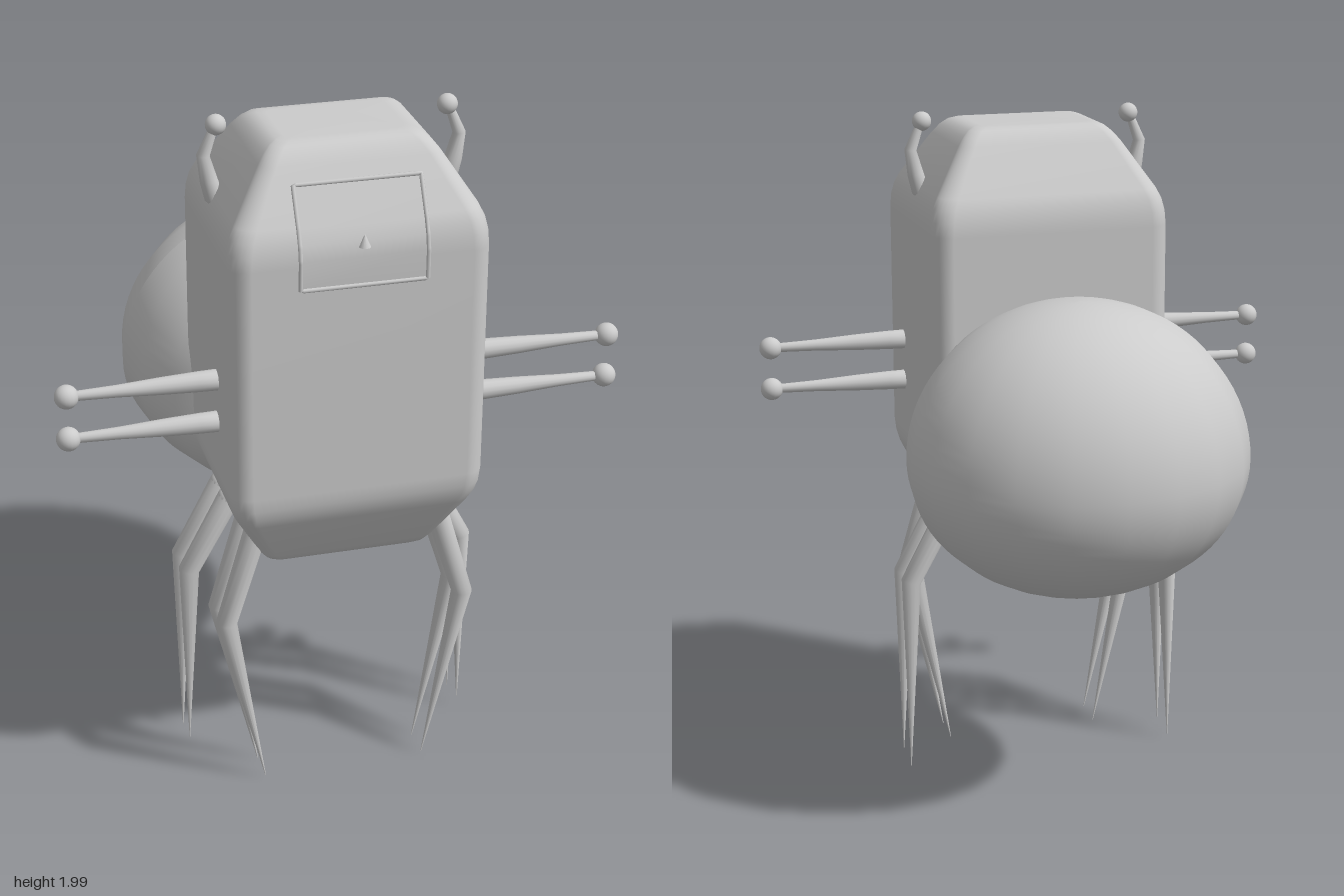
import * as THREE from 'three';

const mat = new THREE.MeshStandardMaterial({ color: 0xcccccc });
const matDouble = new THREE.MeshStandardMaterial({ color: 0xcccccc, side: THREE.DoubleSide });

function add(parent, name, geometry, material = mat) {
  const mesh = new THREE.Mesh(geometry, material);
  mesh.name = name;
  parent.add(mesh);
  return mesh;
}

// Skins a stack of equal-length closed rings (Vector3), with fan caps at both ends.
function skin(rings) {
  const n = rings[0].length, pos = [], index = [];
  for (const ring of rings) for (const p of ring) pos.push(p.x, p.y, p.z);
  for (let r = 0; r < rings.length - 1; r++) {
    for (let i = 0; i < n; i++) {
      const a = r * n + i, b = r * n + (i + 1) % n;
      index.push(a, b, b + n, a, b + n, a + n);
    }
  }
  [0, rings.length - 1].forEach((r, end) => {
    const c = new THREE.Vector3();
    rings[r].forEach((p) => c.addScaledVector(p, 1 / n));
    const centre = pos.length / 3;
    pos.push(c.x, c.y, c.z);
    for (let i = 0; i < n; i++) {
      const a = r * n + i, b = r * n + (i + 1) % n;
      if (end) index.push(centre, a, b); else index.push(centre, b, a);
    }
  });
  const g = new THREE.BufferGeometry();
  g.setAttribute('position', new THREE.Float32BufferAttribute(pos, 3));
  g.setIndex(index);
  g.computeVertexNormals();
  return g;
}

// Tapered limb through [x, y, radius] points lying in the plane z.
function limb(points, z, sides = 14) {
  const p = points.map(([x, y]) => new THREE.Vector3(x, y, z));
  const rings = p.map((c, k) => {
    const dirIn = p[Math.max(k, 1)].clone().sub(p[Math.max(k, 1) - 1]).normalize();
    const m = Math.min(k, p.length - 2);
    const t = p[m + 1].clone().sub(p[m]).normalize().add(dirIn).normalize();
    const side = new THREE.Vector3(t.y, -t.x, 0);
    const up = new THREE.Vector3().crossVectors(t, side);
    return Array.from({ length: sides }, (_, i) => {
      const a = (i / sides) * Math.PI * 2, r = points[k][2];
      return c.clone().addScaledVector(side, r * Math.cos(a)).addScaledVector(up, r * Math.sin(a));
    });
  });
  return skin(rings);
}

// Rounded rectangle ring of the body at height y, drawn in by inset.
function bodyRing(y, inset) {
  const hx = 0.352 - inset, hz = 0.298 - inset, r = 0.055 - inset * 0.15, ring = [];
  for (let q = 0; q < 4; q++) {
    const sx = q === 0 || q === 3 ? 1 : -1, sz = q < 2 ? -1 : 1;
    for (let i = 0; i <= 6; i++) {
      const a = (q + i / 6) * Math.PI / 2;
      ring.push(new THREE.Vector3(
        sx * (hx - r) + r * Math.cos(a), y, 0.333 + sz * (hz - r) - r * Math.sin(a)));
    }
  }
  return ring;
}

function ball(parent, name, r, x, y, z) {
  add(parent, name, new THREE.SphereGeometry(r, 18, 14)).position.set(x, y, z);
}

export function createModel() {
  const model = new THREE.Group();
  model.name = 'spiderRobot';

  // Body: box with chamfered, softened ends
  const profile = [
    [0.738, 0.18], [0.739, 0.16], [0.745, 0.138], [0.758, 0.12], [0.78, 0.104],
    [0.92, 0.026], [0.95, 0.012], [0.98, 0.004], [1.02, 0], [1.68, 0],
    [1.72, 0.003], [1.755, 0.011], [1.785, 0.025], [1.915, 0.109],
    [1.94, 0.129], [1.956, 0.148], [1.963, 0.168], [1.965, 0.19],
  ];
  add(model, 'body', skin(profile.map(([y, inset]) => bodyRing(y, inset))));

  // Abdomen: egg with different radii above, below, front and back
  const egg = new THREE.SphereGeometry(1, 20, 40);
  const ep = egg.attributes.position;
  for (let i = 0; i < ep.count; i++) {
    const y = ep.getY(i), z = ep.getZ(i);
    const front = y > 0 ? 0.5 : 0.5 - 0.1 * y;
    ep.setXYZ(i, ep.getX(i) * 0.49, y * (y > 0 ? 0.46 : 0.385), z * (z > 0 ? front : 0.445));
  }
  egg.computeVertexNormals();
  add(model, 'abdomen', egg).position.set(0, 1.07, -0.2);

  // Face panel bent over the upper front edge, with a thin frame
  const bend = [[1.62, 0.637], [1.7, 0.639], [1.74, 0.631], [1.78, 0.614], [1.88, 0.558]];
  const panel = new THREE.PlaneGeometry(0.34, 1, 1, bend.length - 1);
  const pp = panel.attributes.position;
  for (let i = 0; i < pp.count; i++) {
    const [y, z] = bend[bend.length - 1 - Math.floor(i / 2)];
    pp.setXYZ(i, pp.getX(i), y, z);
  }
  panel.computeVertexNormals();
  add(model, 'facePanel', panel, matDouble);
  const frame = new THREE.CurvePath();
  const corners = [
    ...bend.map(([y, z]) => new THREE.Vector3(-0.17, y, z)),
    ...bend.slice().reverse().map(([y, z]) => new THREE.Vector3(0.17, y, z)),
  ];
  corners.forEach((c, i) => frame.add(new THREE.LineCurve3(c, corners[(i + 1) % corners.length])));
  add(model, 'faceFrame', new THREE.TubeGeometry(frame, 160, 0.006, 8, true));
  const nose = add(model, 'nose', new THREE.ConeGeometry(0.016, 0.035, 12));
  nose.position.set(0, 1.742, 0.634);

  // Paired limbs
  for (const s of [1, -1]) {
    const side = new THREE.Group();
    side.name = s > 0 ? 'leftLimbs' : 'rightLimbs';
    model.add(side);
    const mirrored = (pts) => pts.map(([x, y, r]) => [s * x, y, r]);

    // Antenna
    add(side, 'antenna', limb(mirrored([
      [0.318, 1.755, 0.016], [0.322, 1.77, 0.026], [0.336, 1.82, 0.024],
      [0.35, 1.89, 0.018], [0.318, 1.97, 0.011],
    ]), 0.32));
    ball(side, 'antennaTip', 0.028, s * 0.315, 1.972, 0.32);

    // Arms
    for (const y of [1.3, 1.175]) {
      add(side, 'arm', limb(mirrored([
        [0.3, y, 0.03], [0.4, y, 0.028], [0.5, y, 0.024], [0.62, y, 0.017], [0.75, y, 0.013],
      ]), 0.445));
      ball(side, 'hand', 0.033, s * 0.757, y, 0.445);
    }

    // Legs: two straighter front pairs, two wider rear pairs
    for (const [z, rear, foot] of [[0.485, 0, 0.02], [0.39, 0, 0.012], [0.275, 1, 0.045], [0.18, 1, 0.025]]) {
      const hip = rear ? [0.285, 0.84] : [0.26, 0.84];
      const knee = rear ? [0.405, 0.62] : [0.345, 0.56];
      const tip = rear ? [0.415, foot] : [0.236, foot];
      add(side, 'leg', limb(mirrored([[...hip, 0.033], [...knee, 0.03], [...tip, 0.001]]), z));
      ball(side, 'hip', 0.033, s * hip[0], hip[1], z);
    }
  }
  return model;
}
